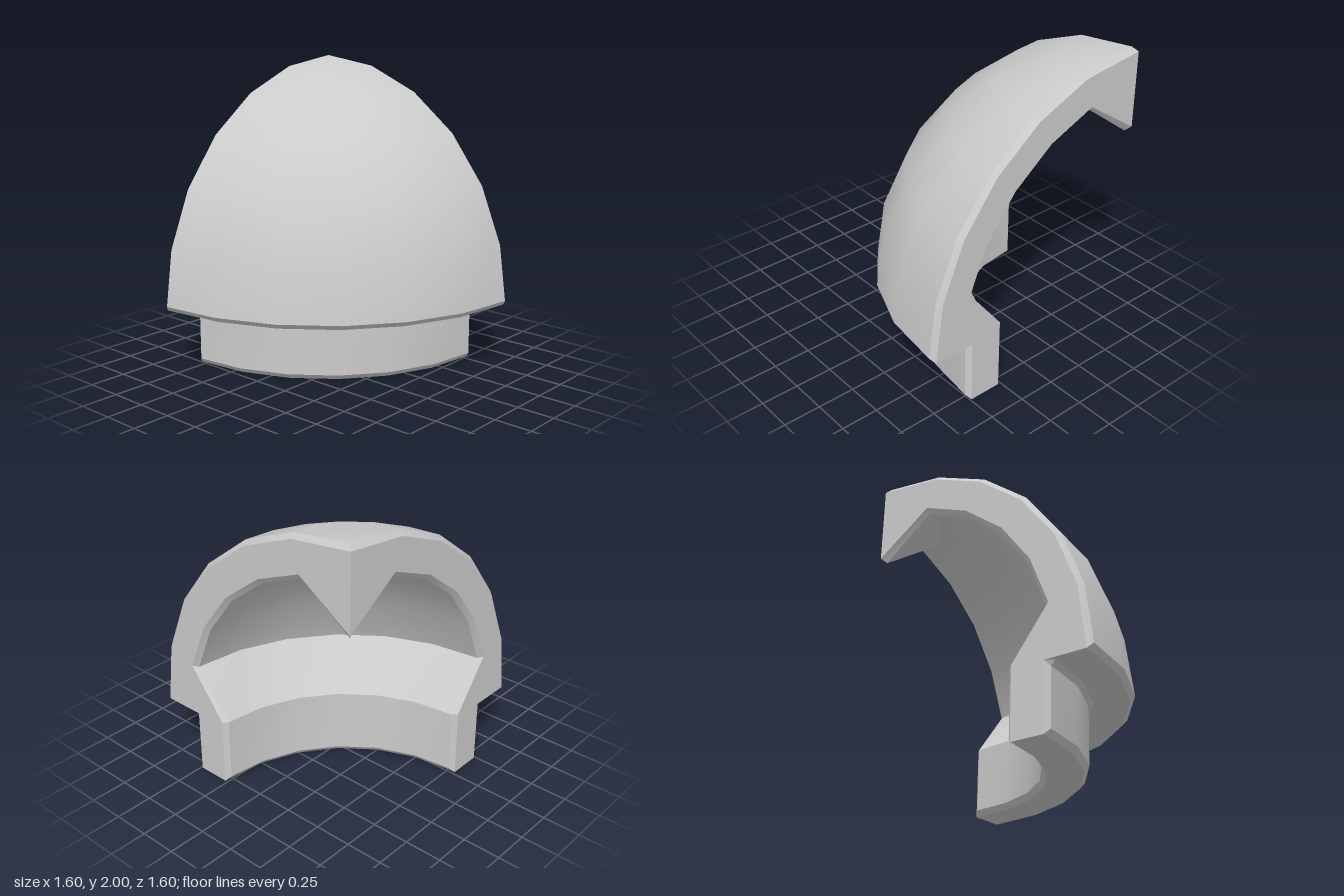
import * as THREE from 'three';
import { toCreasedNormals } from 'three/addons/utils/BufferGeometryUtils.js';

const SEGMENTS = 6;      // facets over the quarter turn
const AXIS = 0.77;       // turning axis at x = AXIS, z = -AXIS
const BEVEL = 0.03;
const BASE = 0.43;       // height of the dome's centre

// Each entry: [radius, y] of the turned surface, then [radius, y] on the cut faces
function makeProfile() {
  const arc = (r, deg) => {
    const a = THREE.MathUtils.degToRad(deg);
    return [r * Math.cos(a), BASE + r * Math.sin(a)];
  };
  const p = [[[0, 2], [-BEVEL, 1.97]]];
  // outer dome
  for (let d = 75; d >= 15; d -= 15) p.push([arc(1.57, d), arc(1.54, d)]);
  // rim, neck and foot
  p.push(
    [[1.57, 0.465], [1.54, BASE]],
    [[1.54, BASE], [1.54, BASE]],
    [[1.32, BASE], [1.26, BASE]],
    [[1.29, 0.40], [1.26, BASE]],
    [[1.29, 0.035], [1.26, 0]],
    [[1.26, 0], [1.26, 0]],
    [[1.04, 0], [1.04, 0]],
    [[1.01, 0.035], [1.04, 0]],
    [[1.01, 0.455], [1.04, 0.455]]
  );
  // inner dome
  for (let d = 15; d <= 75; d += 15) p.push([arc(1.305, d), arc(1.337, d)]);
  // tip of the hanging cone under the crown
  p.push([[0, 1.44], [-BEVEL, 1.47]]);
  return p;
}

function makeShell() {
  const profile = makeProfile();
  const place = ([r, y], a, dx = 0, dz = 0) =>
    new THREE.Vector3(AXIS - r * Math.sin(a) + dx, y, -AXIS + r * Math.cos(a) + dz);

  // bevelled end ring, turned rings, bevelled end ring
  const rings = [profile.map((p) => place(p[1], 0, BEVEL, 0))];
  for (let i = 0; i <= SEGMENTS; i++) {
    rings.push(profile.map((p) => place(p[0], (i / SEGMENTS) * Math.PI / 2)));
  }
  rings.push(profile.map((p) => place(p[1], Math.PI / 2, 0, -BEVEL)));

  const positions = [];
  const triangle = (a, b, c) => {
    if (new THREE.Triangle(a, b, c).getArea() < 1e-7) return;
    for (const v of [a, b, c]) positions.push(v.x, v.y, v.z);
  };

  // turned skin with its bevels
  for (let i = 0; i < rings.length - 1; i++) {
    for (let j = 0; j < profile.length - 1; j++) {
      const a = rings[i][j], b = rings[i + 1][j];
      const c = rings[i + 1][j + 1], d = rings[i][j + 1];
      triangle(a, b, c);
      triangle(a, c, d);
    }
  }

  // flat cut faces, without repeated outline points
  const keep = profile.map((_, j) => j).filter((j) =>
    j === 0 || profile[j][1][0] !== profile[j - 1][1][0] || profile[j][1][1] !== profile[j - 1][1][1]);
  const outline = keep.map((j) => new THREE.Vector2(...profile[j][1]));
  const first = rings[0], last = rings[rings.length - 1];
  for (let [a, b, c] of THREE.ShapeUtils.triangulateShape(outline, [])) {
    if (THREE.ShapeUtils.area([outline[a], outline[b], outline[c]]) < 0) [b, c] = [c, b];
    triangle(first[keep[a]], first[keep[c]], first[keep[b]]);
    triangle(last[keep[a]], last[keep[b]], last[keep[c]]);
  }

  const geometry = new THREE.BufferGeometry();
  geometry.setAttribute('position', new THREE.Float32BufferAttribute(positions, 3));
  return toCreasedNormals(geometry, 0.5);
}

export function createModel() {
  const group = new THREE.Group();
  group.name = 'domeSection';
  const shell = new THREE.Mesh(makeShell(), new THREE.MeshStandardMaterial({ color: 0xcccccc }));
  shell.name = 'domeShell';
  group.add(shell);
  return group;
}
